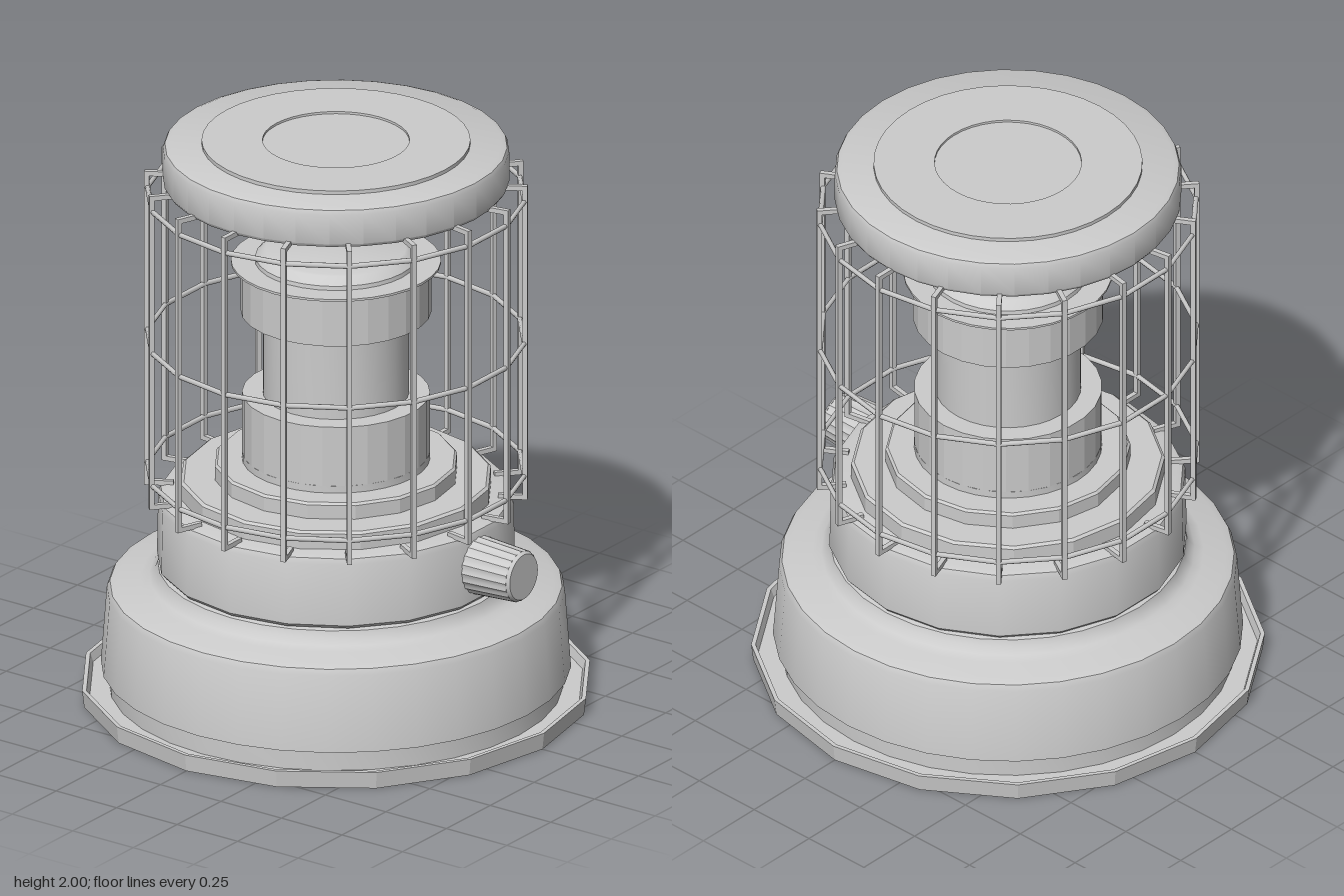
import * as THREE from 'three';
import { toCreasedNormals } from 'three/addons/utils/BufferGeometryUtils.js';

const material = new THREE.MeshStandardMaterial({ color: 0xcccccc });
const flatMaterial = new THREE.MeshStandardMaterial({ color: 0xcccccc, flatShading: true });

export function createModel() {
  const model = new THREE.Group();

  function add(parent, name, geometry, mat = material) {
    const mesh = new THREE.Mesh(geometry, mat);
    mesh.name = name;
    parent.add(mesh);
    return mesh;
  }

  // Turned part from [radius, height] pairs listed bottom to top, first corner on the x axis
  function turned(name, profile, sides, flat = false) {
    const lathe = new THREE.LatheGeometry(profile.map(([r, y]) => new THREE.Vector2(r, y)), sides);
    lathe.rotateY(Math.PI / 2);
    const geometry = flat ? lathe : toCreasedNormals(lathe, 0.6);
    return add(model, name, geometry, flat ? flatMaterial : material);
  }

  // Floor tray with a raised rim
  turned('baseTray', [[0, 0], [0.853, 0], [0.86, 0.06], [0.845, 0.06], [0.835, 0.03], [0, 0.03]], 16, true);

  // Fuel tank with rounded shoulder and neck
  turned('tankFoot', [[0.76, 0.03], [0.76, 0.12]], 32);
  turned('fuelTank', [
    [0.7, 0.105], [0.787, 0.105], [0.767, 0.375], [0.757, 0.395], [0.73, 0.405],
    [0.655, 0.415], [0.625, 0.425], [0.605, 0.445], [0.597, 0.468], [0.57, 0.475], [0, 0.475],
  ], 32);

  // Control drum
  turned('controlDrum', [
    [0, 0.475], [0.592, 0.475], [0.602, 0.487], [0.598, 0.705], [0.59, 0.724], [0.57, 0.73], [0, 0.73],
  ], 18);

  // Stepped burner plates
  turned('lowerBurnerPlate', [[0, 0.73], [0.525, 0.73], [0.525, 0.785], [0.515, 0.793], [0, 0.793]], 16, true);
  turned('upperBurnerPlate', [[0, 0.79], [0.41, 0.79], [0.41, 0.842], [0.402, 0.85], [0, 0.85]], 16, true);

  // Burner column, collars, flange and cap
  turned('burnerSeat', [[0.315, 0.845], [0.315, 0.875], [0.24, 0.875]], 32);
  turned('burnerCore', [[0.245, 0.85], [0.245, 1.4]], 32);
  turned('lowerCollar', [[0.24, 0.875], [0.315, 0.875], [0.315, 1.088], [0.24, 1.088]], 26, true);
  turned('upperCollar', [[0.24, 1.383], [0.32, 1.383], [0.32, 1.56], [0, 1.56]], 26, true);
  turned('burnerFlange', [[0, 1.558], [0.352, 1.558], [0.352, 1.566], [0, 1.566]], 32);
  turned('burnerCap', [[0.272, 1.565], [0.27, 1.58], [0.245, 1.606], [0.235, 1.61], [0, 1.61]], 32);

  // Top lid with raised plate and shallow centre recess
  turned('topLid', [
    [0, 1.848], [0.572, 1.848], [0.58, 1.86], [0.58, 1.965], [0.573, 1.98], [0.555, 1.987], [0, 1.987],
  ], 32);
  turned('lidPlate', [[0.45, 1.985], [0.45, 2], [0.246, 2], [0.246, 1.992], [0, 1.992]], 40);

  // Wire guard: upright rods with hooked ends, tied by three rings
  const guard = new THREE.Group();
  guard.name = 'wireGuard';
  model.add(guard);
  const rods = 18, radius = 0.636, wire = 0.017;
  const low = 0.735, high = 1.853;
  for (let i = 0; i < rods; i++) {
    const rod = new THREE.Group();
    rod.name = 'guardRod';
    rod.rotation.y = (i / rods) * Math.PI * 2;
    guard.add(rod);
    add(rod, 'upright', new THREE.BoxGeometry(wire, high - low + wire, wire)).position.set(radius, (low + high) / 2, 0);
    for (const y of [low, high]) {
      add(rod, 'hook', new THREE.BoxGeometry(0.09, wire, wire)).position.set(radius - 0.045, y, 0);
    }
  }
  for (const y of [0.81, 1.29, 1.803]) {
    const ring = new THREE.TorusGeometry(radius - 0.002, 0.009, 6, rods);
    ring.rotateX(Math.PI / 2).translate(0, y, 0);
    add(guard, 'guardRing', ring);
  }

  // Fluted control knob on the front of the drum
  const flutes = 20;
  const outline = new THREE.Shape();
  for (let i = 0; i < flutes * 2; i++) {
    const a = (i / (flutes * 2)) * Math.PI * 2, r = i % 2 ? 0.097 : 0.102;
    outline[i ? 'lineTo' : 'moveTo'](Math.cos(a) * r, Math.sin(a) * r);
  }
  outline.closePath();
  const grip = new THREE.ExtrudeGeometry(outline, { depth: 0.2, bevelEnabled: false });
  const p = grip.attributes.position;
  for (let i = 0; i < p.count; i++) {
    const taper = 1 - 0.12 * (p.getZ(i) / 0.2);
    p.setXY(i, p.getX(i) * taper, p.getY(i) * taper);
  }
  grip.computeVertexNormals();
  add(model, 'controlKnob', toCreasedNormals(grip, 0.6)).position.set(0, 0.605, 0.565);
  const face = new THREE.CylinderGeometry(0.08, 0.088, 0.012, 32);
  face.rotateX(Math.PI / 2);
  add(model, 'knobFace', toCreasedNormals(face, 0.5)).position.set(0, 0.605, 0.77);

  return model;
}
